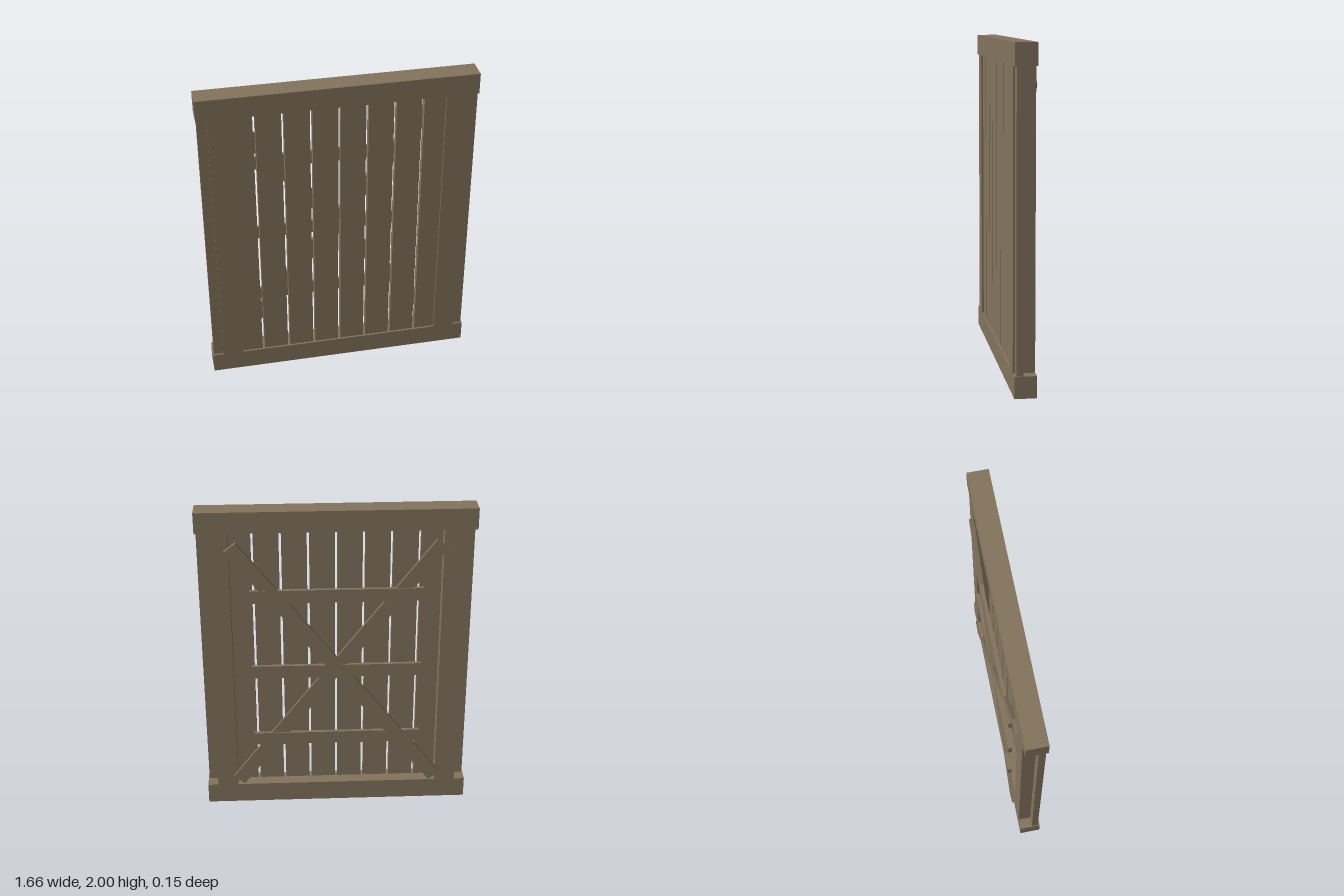
import * as THREE from 'three';

const wood = new THREE.MeshStandardMaterial({ color: 0x84745e });
wood.name = 'weathered wood';

export function createModel() {
  const model = new THREE.Group();
  model.name = 'plankGate';

  const addBox = (name, size, position, angle = 0) => {
    const mesh = new THREE.Mesh(new THREE.BoxGeometry(...size), wood);
    mesh.name = name;
    mesh.position.set(...position);
    mesh.rotation.z = angle;
    model.add(mesh);
  };

  // Frame: wide top and bottom rails joined by two inset stiles
  const [railX, stileX, openX, low, high] = [0.83, 0.765, 0.635, 0.13, 1.87];
  const outline = new THREE.Shape([
    [-railX, 0], [railX, 0], [railX, low], [stileX, low], [stileX, high], [railX, high],
    [railX, 2], [-railX, 2], [-railX, high], [-stileX, high], [-stileX, low], [-railX, low],
  ].map(([x, y]) => new THREE.Vector2(x, y)));
  outline.holes.push(new THREE.Path([
    [-openX, low], [-openX, high], [openX, high], [openX, low],
  ].map(([x, y]) => new THREE.Vector2(x, y))));
  const frame = new THREE.Mesh(
    new THREE.ExtrudeGeometry(outline, { depth: 0.129, bevelEnabled: false }), wood);
  frame.name = 'frame';
  frame.position.z = -0.052;
  model.add(frame);

  // Ten upright planks; the outermost pair pass through the stiles
  for (let i = 0; i < 10; i++) {
    addBox('plank', [0.152, high - low, 0.04], [(i - 4.5) * 0.1663, 1, 0.045]);
  }

  // Three horizontal battens on the back
  for (const y of [0.485, 0.9625, 1.47]) {
    addBox('batten', [1.04, 0.082, 0.022], [0, y, -0.066]);
  }

  // Crossed diagonal braces, one slightly thinner than the other
  const angle = Math.atan2(0.808, 0.626);
  addBox('risingBrace', [2.044, 0.087, 0.024], [0, 0.983, -0.064], angle);
  addBox('fallingBrace', [2.044, 0.087, 0.018], [0, 0.983, -0.061], -angle);

  return model;
}
